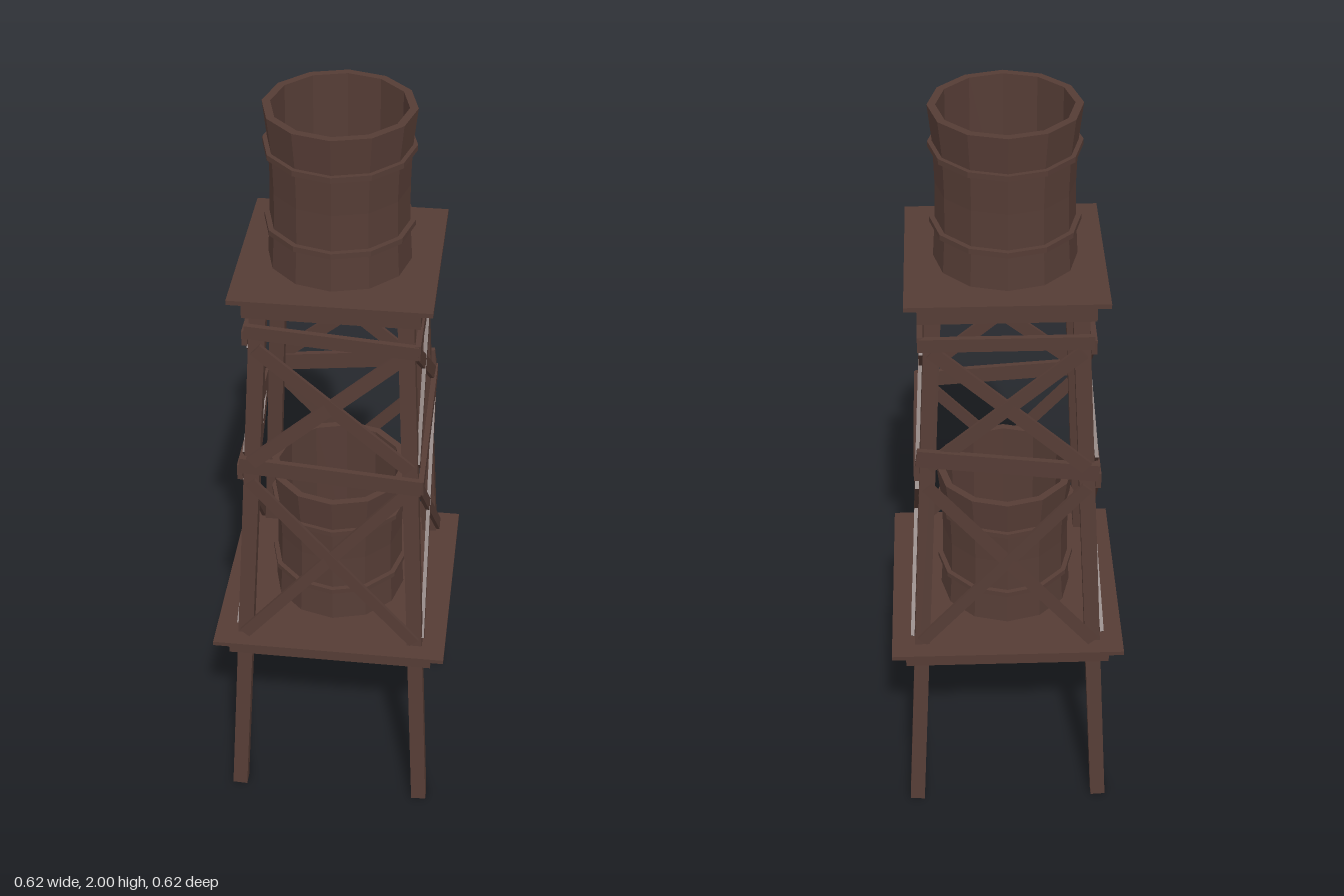
import * as THREE from 'three';

const wood = new THREE.MeshStandardMaterial({ color: 0x553c35 });
wood.name = 'dark brown wood';

const V = (x, y, z) => new THREE.Vector3(x, y, z);

function add(parent, name, geometry, x = 0, y = 0, z = 0) {
  const mesh = new THREE.Mesh(geometry, wood);
  mesh.name = name;
  mesh.position.set(x, y, z);
  parent.add(mesh);
  return mesh;
}

// Twelve-sided turned shape with flat facets
function facetedLathe(points) {
  const g = new THREE.LatheGeometry(points.map(p => new THREE.Vector2(p[0], p[1])), 12).toNonIndexed();
  g.computeVertexNormals();
  return g;
}

// Straight plank from a to b, its broad side turned to the outward direction
function plank(parent, name, a, b, out, width, thickness) {
  const along = b.clone().sub(a);
  const length = along.length();
  along.normalize();
  const normal = out.clone().addScaledVector(along, -out.dot(along)).normalize();
  const side = along.clone().cross(normal);
  const mesh = add(parent, name, new THREE.BoxGeometry(width, length, thickness));
  mesh.quaternion.setFromRotationMatrix(new THREE.Matrix4().makeBasis(side, along, normal));
  mesh.position.copy(a).add(b).multiplyScalar(0.5);
}

// Leg centre offsets at a given height
const legX = y => 0.255 - 0.05 * y;
const legZ = y => 0.277 - 0.063 * y;

function platform(parent, name, y, beamHalf, plateHalf) {
  const g = new THREE.Group();
  g.name = name;
  add(g, 'platformBase', new THREE.BoxGeometry(beamHalf * 2, 0.056, beamHalf * 2), 0, y - 0.038, 0);
  add(g, 'platformBoards', new THREE.BoxGeometry(plateHalf * 2, 0.012, plateHalf * 2), 0, y - 0.006, 0);
  parent.add(g);
}

function barrel(parent, name, y) {
  const g = new THREE.Group();
  g.name = name;
  g.position.set(-0.003, y, 0);
  add(g, 'barrelWall', facetedLathe([
    [0.177, 0], [0.171, 0.1], [0.169, 0.2], [0.172, 0.3], [0.183, 0.4], [0.163, 0.4], [0.163, 0]
  ]));
  for (const h of [0.1, 0.3]) {
    add(g, 'barrelHoop', facetedLathe([
      [0.165, -0.007], [0.184, -0.007], [0.184, 0.007], [0.165, 0.007]
    ]), 0, h, 0);
  }
  parent.add(g);
}

// Tower face braces; s is +1 or -1, sideways picks the x faces
function faceBraces(parent, name, s, sideways, rails) {
  const g = new THREE.Group();
  g.name = name;
  const out = sideways ? V(s, 0, 0) : V(0, 0, s);
  // u runs along the face (-1..1), gap lies outside the leg centre
  const at = (u, y, gap, extra = 0) => sideways
    ? V(s * (legX(y) + gap), y, u * (legZ(y) + extra))
    : V(u * (legX(y) + extra), y, s * (legZ(y) + gap));
  const near = 0.02, far = sideways ? 0.026 : 0.034;
  for (const [low, high, w] of [[0.57, 1.06, 0.032], [1.12, 1.45, 0.036]]) {
    plank(g, 'crossBrace', at(-1, low, far), at(1, high, near), out, w, 0.01);
    plank(g, 'crossBrace', at(1, low, near), at(-1, high, far), out, w, 0.01);
  }
  // Slightly crooked horizontal rails: heights at the -1 and +1 ends
  for (const [y0, y1, w] of rails) {
    plank(g, 'rail', at(-1, y0, 0.028, 0.03), at(1, y1, 0.028, 0.03), out, w, 0.014);
  }
  parent.add(g);
}

export function createModel() {
  const model = new THREE.Group();
  model.name = 'barrelTower';

  // Four leaning legs
  for (const sx of [-1, 1]) for (const sz of [-1, 1]) {
    const top = 1.55;
    plank(model, 'leg', V(sx * legX(0), 0, sz * legZ(0)),
      V(sx * legX(top), top, sz * legZ(top)), V(0, 0, sz), 0.04, 0.036);
  }

  platform(model, 'lowerPlatform', 0.556, 0.272, 0.308);
  platform(model, 'upperPlatform', 1.6, 0.215, 0.245);
  barrel(model, 'lowerBarrel', 0.556);
  barrel(model, 'upperBarrel', 1.6);

  faceBraces(model, 'frontBraces', 1, false, [[1.108, 1.075, 0.045], [1.495, 1.465, 0.036]]);
  faceBraces(model, 'backBraces', -1, false, [[1.1, 1.155, 0.048], [1.475, 1.475, 0.036]]);
  faceBraces(model, 'leftBraces', 1, true, [[1.11, 1.075, 0.045], [1.475, 1.465, 0.04]]);
  faceBraces(model, 'rightBraces', -1, true, [[1.075, 1.085, 0.045], [1.46, 1.475, 0.04]]);

  return model;
}
